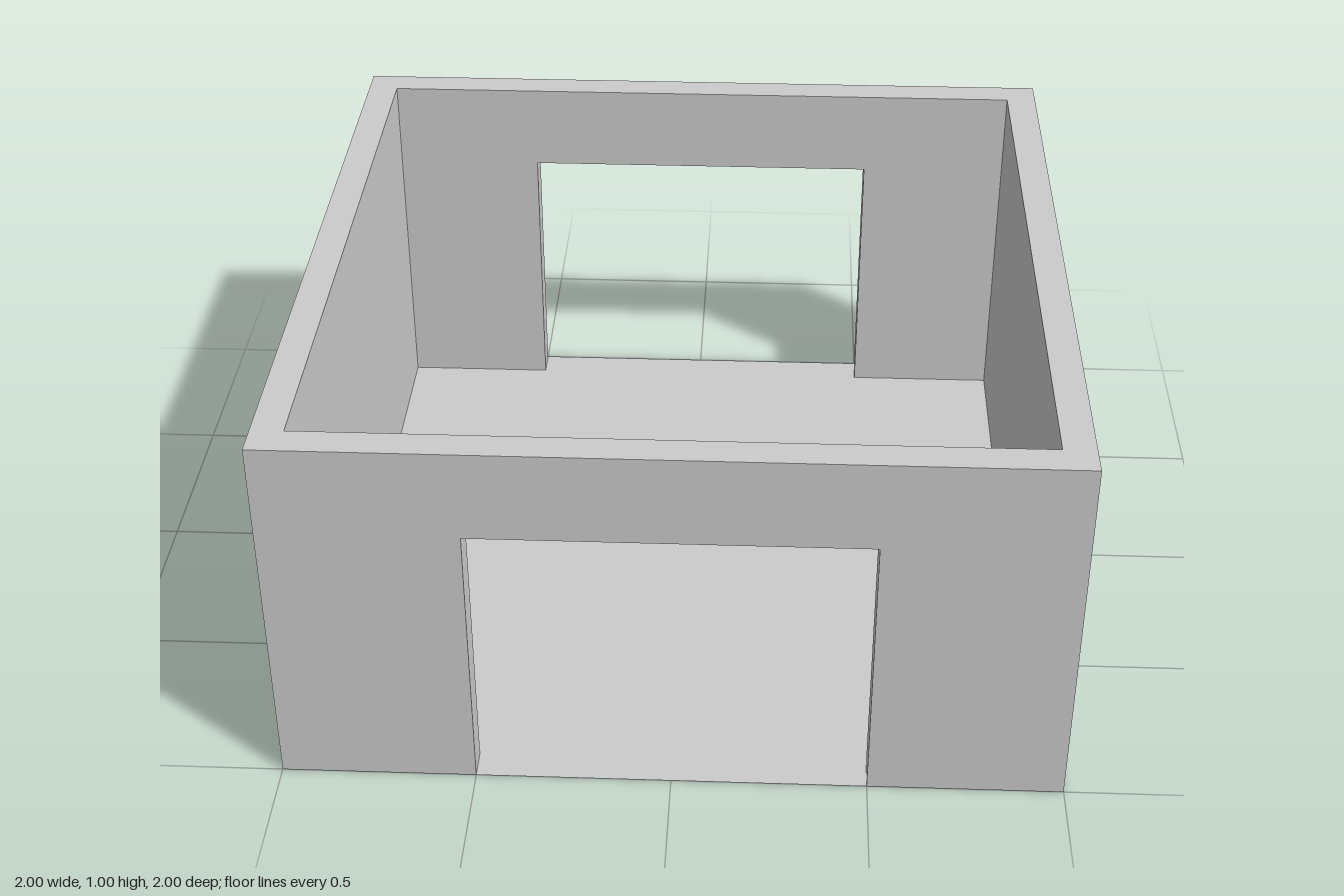
import * as THREE from 'three';

const SIZE = 2, HEIGHT = 1, WALL = 0.083;
const DOOR_HALF = 0.5, DOOR_HEIGHT = 0.757;

export function createModel() {
  const group = new THREE.Group();
  const material = new THREE.MeshStandardMaterial({ color: 0xcccccc, flatShading: true });
  const add = (name, geometry, x, y, z, mat = material) => {
    const mesh = new THREE.Mesh(geometry, mat);
    mesh.name = name;
    mesh.position.set(x, y, z);
    group.add(mesh);
    return mesh;
  };
  const h = SIZE / 2;

  // Front and back walls: one outline that steps around the doorway
  const outline = new THREE.Shape([
    [-h, 0], [-DOOR_HALF, 0], [-DOOR_HALF, DOOR_HEIGHT], [DOOR_HALF, DOOR_HEIGHT],
    [DOOR_HALF, 0], [h, 0], [h, HEIGHT], [-h, HEIGHT],
  ].map(([x, y]) => new THREE.Vector2(x, y)));
  const doorWall = new THREE.ExtrudeGeometry(outline, { depth: WALL, bevelEnabled: false });
  add('frontWall', doorWall, 0, 0, h - WALL);
  add('backWall', doorWall, 0, 0, -h);

  // Solid side walls fitted between them
  const sideWall = new THREE.BoxGeometry(WALL, HEIGHT, SIZE - 2 * WALL);
  add('leftWall', sideWall, h - WALL / 2, HEIGHT / 2, 0);
  add('rightWall', sideWall, -h + WALL / 2, HEIGHT / 2, 0);

  // Thin floor running through both doorways
  const floorMaterial = material.clone();
  floorMaterial.side = THREE.DoubleSide;
  add('floor', new THREE.PlaneGeometry(SIZE, SIZE).rotateX(-Math.PI / 2), 0, 0, 0, floorMaterial);

  return group;
}
